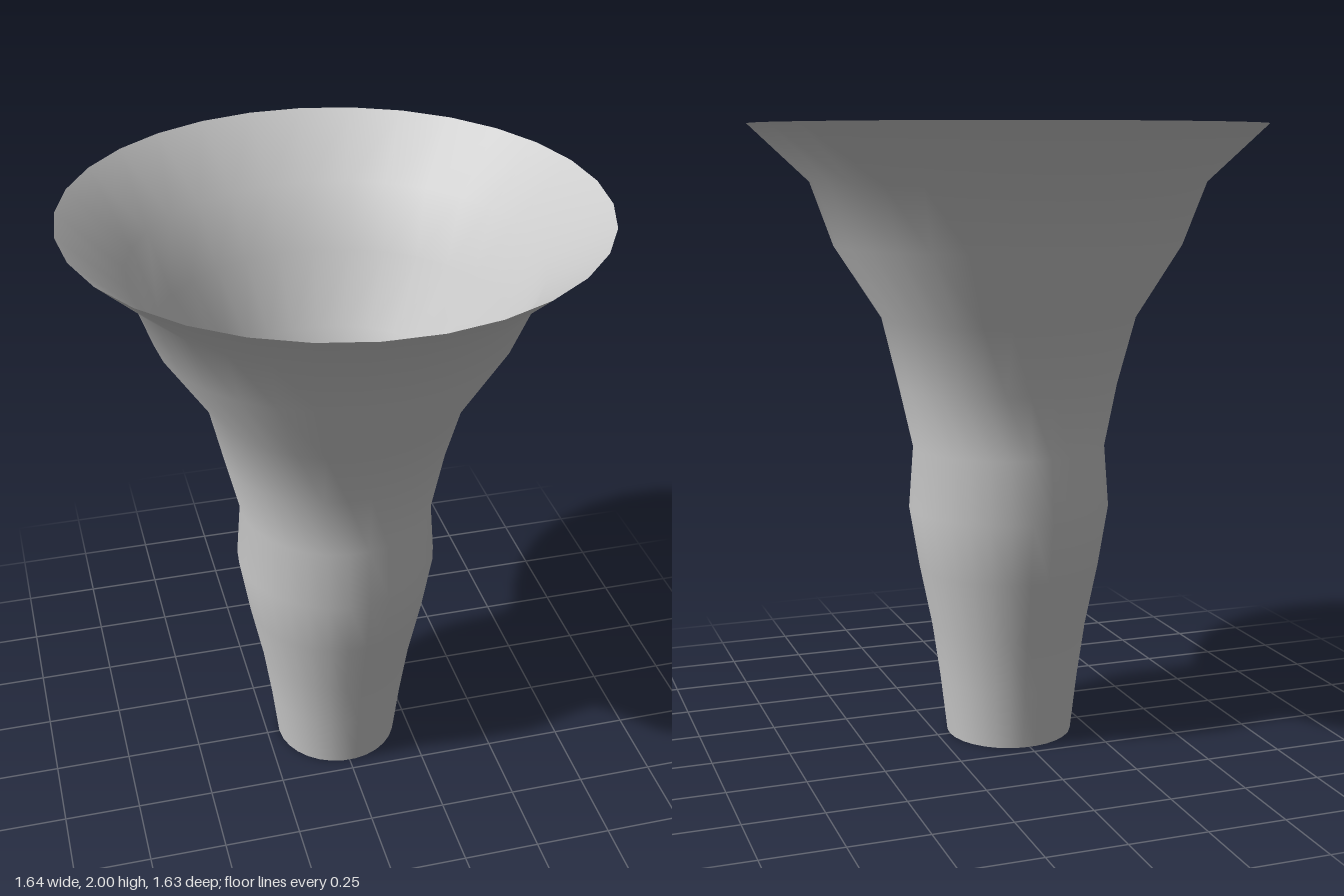
import * as THREE from 'three';
import { mergeVertices } from 'three/addons/utils/BufferGeometryUtils.js';

const SIDES = 30;

// Cross-sections from foot to rim: [height, half width in x, half depth in z]
const RINGS = [
  [0, 0.207, 0.207], [0.19, 0.229, 0.229], [0.37, 0.255, 0.255], [0.57, 0.295, 0.298],
  [0.77, 0.328, 0.328], [0.97, 0.313, 0.313], [1.17, 0.36, 0.313], [1.39, 0.41, 0.412],
  [1.62, 0.56, 0.525], [1.82, 0.63, 0.627], [2, 0.82, 0.82],
];

// Lathe on the x radii, then squash each ring to its own depth
function flaredTube() {
  const profile = RINGS.map(([y, rx]) => new THREE.Vector2(rx, y));
  const lathe = new THREE.LatheGeometry(profile, SIDES, Math.PI / 2);
  const pos = lathe.attributes.position;
  for (let i = 0; i < pos.count; i++) {
    const [, rx, rz] = RINGS[i % RINGS.length];
    pos.setZ(i, pos.getZ(i) * rz / rx);
  }
  // Weld the seam so the shading is smooth all the way round
  lathe.deleteAttribute('normal');
  lathe.deleteAttribute('uv');
  const geometry = mergeVertices(lathe, 1e-4);
  geometry.computeVertexNormals();
  return geometry;
}

export function createModel() {
  const model = new THREE.Group();
  model.name = 'flaredVase';

  // Thin shell, open at the foot and at the rim
  const material = new THREE.MeshStandardMaterial({ color: 0xcccccc, side: THREE.DoubleSide });
  const shell = new THREE.Mesh(flaredTube(), material);
  shell.name = 'vaseShell';
  model.add(shell);
  return model;
}
